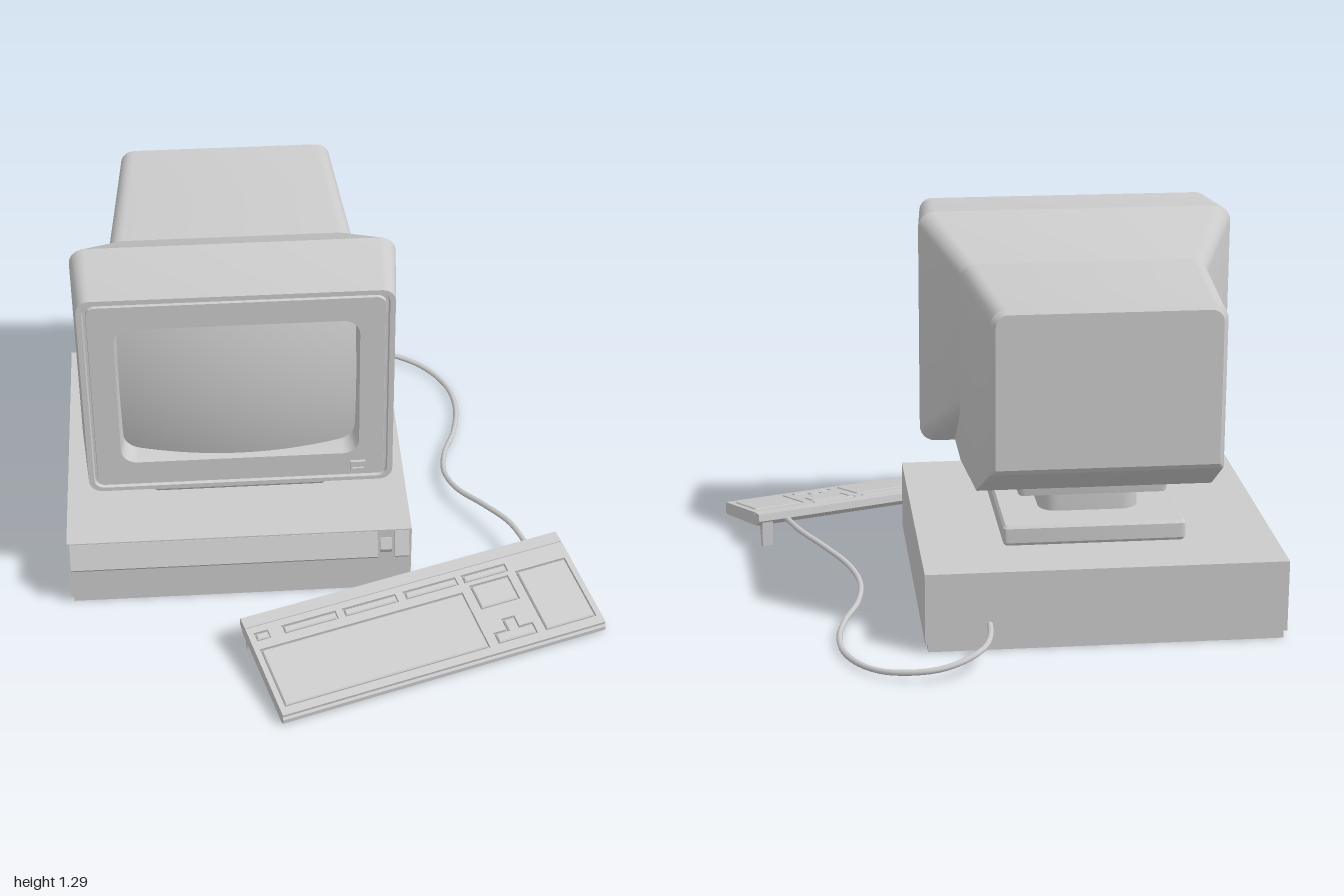
import * as THREE from 'three';
import { toCreasedNormals } from 'three/addons/utils/BufferGeometryUtils.js';

const grey = new THREE.MeshStandardMaterial({ color: 0xcccccc });
const CX = -0.318; // centre line of the monitor

function add(parent, name, geometry) {
  const mesh = new THREE.Mesh(geometry, grey);
  mesh.name = name;
  parent.add(mesh);
  return mesh;
}

function box(parent, name, x0, x1, y0, y1, z0, z1) {
  const g = new THREE.BoxGeometry(x1 - x0, y1 - y0, z1 - z0);
  g.translate((x0 + x1) / 2, (y0 + y1) / 2, (z0 + z1) / 2);
  return add(parent, name, g);
}

// Rounded rectangle section at depth z, with its own radius for the bottom corners
function section(cx, hw, y0, y1, z, r, rb = r) {
  const corners = [[cx + hw - r, y1 - r, r], [cx - hw + r, y1 - r, r], [cx - hw + rb, y0 + rb, rb], [cx + hw - rb, y0 + rb, rb]];
  const pts = [];
  corners.forEach(([x, y, rad], q) => {
    for (let i = 0; i <= 6; i++) {
      const a = (q + i / 6) * Math.PI / 2;
      pts.push([x + rad * Math.cos(a), y + rad * Math.sin(a), z]);
    }
  });
  return pts;
}

// Skin over sections, ordered from back to front
function loft(sections, capStart = true, capEnd = true) {
  const n = sections[0].length, pos = [], idx = [];
  sections.forEach(s => s.forEach(p => pos.push(...p)));
  for (let i = 0; i < sections.length - 1; i++) {
    for (let j = 0; j < n; j++) {
      const a = i * n + j, b = i * n + (j + 1) % n;
      idx.push(a, b, a + n, b, b + n, a + n);
    }
  }
  const cap = (row, flip) => {
    for (let j = 1; j < n - 1; j++) {
      const o = row * n;
      if (flip) idx.push(o, o + j + 1, o + j);
      else idx.push(o, o + j, o + j + 1);
    }
  };
  if (capStart) cap(0, true);
  if (capEnd) cap(sections.length - 1, false);
  const g = new THREE.BufferGeometry();
  g.setAttribute('position', new THREE.Float32BufferAttribute(pos, 3));
  g.setIndex(idx);
  return toCreasedNormals(g, 0.35);
}

const toShape = pts => new THREE.Shape(pts.map(([x, y]) => new THREE.Vector2(x, y)));
const rect = (x0, x1, y0, y1) => [[x0, y0], [x1, y0], [x1, y1], [x0, y1]];

// Profile of (z, y) points drawn out along x
function alongX(pts, x0, x1) {
  const g = new THREE.ExtrudeGeometry(toShape(pts.map(([z, y]) => [-z, y])), { depth: x1 - x0, bevelEnabled: false });
  return g.rotateY(Math.PI / 2).translate(x0, 0, 0);
}

// Upright rectangular wall ring
function wallRing(parent, name, x0, x1, z0, z1, t, y0, y1) {
  const s = toShape(rect(x0, x1, -z1, -z0));
  s.holes.push(toShape(rect(x0 + t, x1 - t, -z1 + t, -z0 - t)));
  const g = new THREE.ExtrudeGeometry(s, { depth: y1 - y0, bevelEnabled: false });
  add(parent, name, g.rotateX(-Math.PI / 2).translate(0, y0, 0));
}

function makeCase() {
  const g = new THREE.Group();
  g.name = 'computerCase';
  wallRing(g, 'caseWalls', -0.93, 0.27, -0.76, 0.345, 0.03, 0.03, 0.255);
  wallRing(g, 'caseSkirt', -0.92, 0.26, -0.75, 0.335, 0.02, 0, 0.03);
  box(g, 'caseTop', -0.93, 0.27, 0.25, 0.275, -0.76, 0.345);
  // Slanted front trim, broken by the switch
  const trim = [[0.34, 0.27], [0.346, 0.27], [0.378, 0.18], [0.372, 0.17], [0.34, 0.17]];
  add(g, 'frontTrim', alongX(trim, -0.92, 0.15));
  add(g, 'frontTrimEnd', alongX(trim, 0.21, 0.26));
  add(g, 'powerSwitch', alongX([[0.34, 0.24], [0.348, 0.24], [0.364, 0.2], [0.355, 0.18], [0.34, 0.18]], 0.16, 0.2));
  return g;
}

function makeMonitor() {
  const g = new THREE.Group();
  g.name = 'monitor';
  // Stand: foot, neck and swivel plate, lofted upwards
  const stand = (name, rows) => add(g, name,
    loft(rows.map(([hw, z0, z1, y, r]) => section(CX, hw, -z1, -z0, y, r))).rotateX(-Math.PI / 2));
  stand('standFoot', [[0.3, -0.525, 0.075, 0.27, 0.015], [0.308, -0.533, 0.083, 0.285, 0.015],
    [0.308, -0.533, 0.083, 0.335, 0.015], [0.3, -0.525, 0.075, 0.345, 0.015]]);
  stand('standNeck', [[0.17, -0.4, -0.02, 0.34, 0.06], [0.17, -0.4, -0.02, 0.42, 0.06]]);
  stand('swivelPlate', [[0.17, -0.4, -0.02, 0.405, 0.02], [0.25, -0.475, 0.015, 0.43, 0.02], [0.254, -0.48, 0.02, 0.47, 0.02]]);
  // Bezel housing, grooved front and sloped screen opening
  add(g, 'bezel', loft([
    section(CX, 0.42, 0.64, 1.16, -0.2, 0.05),
    section(CX, 0.543, 0.465, 1.29, 0.03, 0.055),
    section(CX, 0.518, 0.48, 1.275, 0.31, 0.045),
    section(CX, 0.5, 0.495, 1.262, 0.31, 0.035),
    section(CX, 0.496, 0.499, 1.258, 0.3, 0.033),
    section(CX, 0.488, 0.507, 1.25, 0.3, 0.03),
    section(CX, 0.486, 0.509, 1.248, 0.31, 0.03),
    section(CX, 0.403, 0.6, 1.158, 0.31, 0.055),
    section(CX, 0.39, 0.61, 1.148, 0.2, 0.05),
  ], false, false));
  // Tube housing with a sloped underside at the back
  add(g, 'tubeHousing', loft([
    section(CX, 0.362, 0.632, 1.145, -0.79, 0.04, 0.005),
    section(CX, 0.377, 0.613, 1.16, -0.775, 0.05, 0.005),
    section(CX, 0.397, 0.465, 1.16, -0.505, 0.05, 0.005),
    section(CX, 0.42, 0.465, 1.16, -0.2, 0.05, 0.005),
    section(CX, 0.42, 0.467, 1.16, 0.03, 0.05, 0.005),
  ]));
  // Domed glass
  const glass = new THREE.PlaneGeometry(0.81, 0.56, 24, 18);
  const p = glass.attributes.position;
  for (let i = 0; i < p.count; i++) p.setZ(i, 0.315 - 0.4 * (p.getX(i) ** 2 + p.getY(i) ** 2));
  glass.computeVertexNormals();
  add(g, 'screen', glass.translate(CX, 0.879, 0));
  // Power light in a small frame
  const f = toShape(rect(0.055, 0.107, 0.533, 0.568));
  f.holes.push(toShape(rect(0.062, 0.1, 0.54, 0.561)));
  add(g, 'powerLightFrame', new THREE.ExtrudeGeometry(f, { depth: 0.015, bevelEnabled: false }).translate(0, 0, 0.306));
  box(g, 'powerLight', 0.062, 0.1, 0.54, 0.561, 0.3, 0.314);
  return g;
}

function makeKeyboard() {
  const g = new THREE.Group();
  g.name = 'keyboard';
  g.position.set(0.29, 0, 0.61);
  g.rotation.y = 0.313;
  add(g, 'keyboardBody', alongX([[0.192, 0], [0.204, 0.008], [0.206, 0.025], [0.2, 0.033], [-0.153, 0.113],
    [-0.153, 0.126], [-0.2, 0.131], [-0.205, 0.105], [-0.175, 0.08]], -0.6, 0.6));
  // Sloped top plate with wells, each filled by a bevelled key block
  const slope = new THREE.Group();
  slope.name = 'keyDeck';
  slope.position.y = 0.0783;
  slope.rotation.x = 0.223;
  g.add(slope);
  const wells = [
    rect(-0.58, -0.528, -0.133, -0.098),
    ...[[-0.379, 0.2], [-0.155, 0.2], [0.073, 0.2], [0.279, 0.17]].map(([u, w]) => rect(u - w / 2, u + w / 2, -0.133, -0.098)),
    rect(-0.583, 0.172, -0.065, 0.175),
    rect(0.205, 0.355, -0.083, 0.022),
    rect(0.385, 0.58, -0.09, 0.172),
    [[0.205, 0.125], [0.255, 0.125], [0.255, 0.08], [0.305, 0.08], [0.305, 0.125], [0.355, 0.125], [0.355, 0.172], [0.205, 0.172]],
  ].map(w => w.map(([u, v]) => [u, -v]));
  const plate = toShape(rect(-0.6, 0.6, -0.205, 0.157));
  wells.forEach(w => plate.holes.push(toShape(w)));
  add(slope, 'topPlate', new THREE.ExtrudeGeometry(plate, { depth: 0.012, bevelEnabled: false }).rotateX(-Math.PI / 2));
  wells.forEach(w => add(slope, 'keyBlock', new THREE.ExtrudeGeometry(toShape(w), {
    depth: 0.008, bevelSize: 0.004, bevelThickness: 0.005, bevelOffset: -0.01, bevelSegments: 1,
  }).rotateX(-Math.PI / 2)));
  // Folding rear feet
  for (const s of [-1, 1]) {
    add(g, 'rearFoot', alongX([[-0.16, 0.085], [-0.195, 0.1], [-0.19, 0.003], [-0.178, 0]], s * 0.565 - 0.02, s * 0.565 + 0.02));
  }
  return g;
}

function makeCable() {
  const pts = [[0.7, 0.1, 0.28], [0.65, 0.1, 0.14], [0.57, 0.085, 0.016], [0.49, 0.06, -0.106], [0.455, 0.04, -0.228],
    [0.47, 0.024, -0.36], [0.52, 0.016, -0.497], [0.545, 0.014, -0.64], [0.53, 0.014, -0.767], [0.476, 0.016, -0.873],
    [0.41, 0.022, -0.937], [0.32, 0.034, -0.978], [0.238, 0.046, -0.988], [0.16, 0.062, -0.967], [0.09, 0.08, -0.91],
    [0.063, 0.09, -0.83], [0.058, 0.095, -0.75]].map(p => new THREE.Vector3(...p));
  return new THREE.TubeGeometry(new THREE.CatmullRomCurve3(pts), 64, 0.01, 8);
}

export function createModel() {
  const model = new THREE.Group();
  model.name = 'desktopComputer';
  model.add(makeCase(), makeMonitor(), makeKeyboard());
  add(model, 'keyboardCable', makeCable());
  return model;
}
